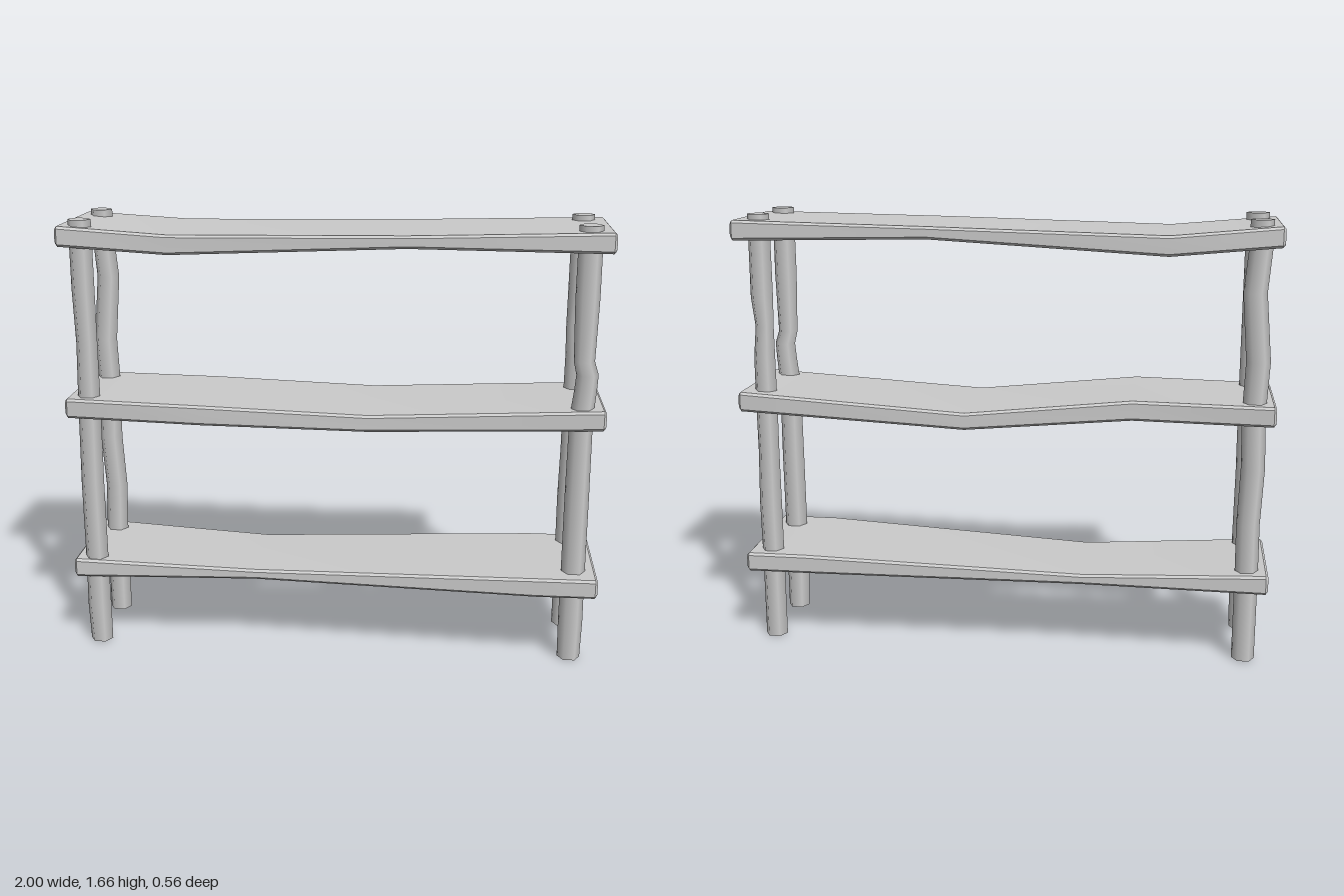
import * as THREE from 'three';
import { toCreasedNormals } from 'three/addons/utils/BufferGeometryUtils.js';

const material = new THREE.MeshStandardMaterial({ color: 0xcccccc });
const shelfMaterial = new THREE.MeshStandardMaterial({ color: 0xcccccc, side: THREE.DoubleSide });
const BEVEL = 0.009;

// Warped plank with chamfered edges, hollow underneath; stations are [x, bottom, top, back z, front z]
function makeShelf(name, stations) {
  const first = stations[0], last = stations[stations.length - 1];
  const inset = ([x, b, t, zb, zf]) => [x, b + BEVEL, t - BEVEL, zb + BEVEL, zf - BEVEL];
  const shift = (s, dx) => [s[0] + dx, ...s.slice(1)];
  const rows = [
    inset(first), shift(first, BEVEL),
    ...stations.slice(1, -1),
    shift(last, -BEVEL), inset(last),
  ];
  const positions = [], index = [];
  for (const [x, b, t, zb, zf] of rows) {
    const c = BEVEL;
    const loop = [
      [b, zf - c], [b + c, zf], [t - c, zf], [t, zf - c],
      [t, zb + c], [t - c, zb], [b + c, zb], [b, zb + c],
    ];
    for (const [y, z] of loop) positions.push(x, y, z);
  }
  // Skin around the front, top and back, open below
  const n = 8;
  for (let i = 0; i < rows.length - 1; i++) {
    for (let j = 0; j < n - 1; j++) {
      const a = i * n + j;
      index.push(a, a + n, a + 1, a + 1, a + n, a + n + 1);
    }
  }
  // End faces
  const end = (rows.length - 1) * n;
  for (let j = 1; j < n - 1; j++) {
    index.push(0, j, j + 1, end, end + j + 1, end + j);
  }
  const geometry = new THREE.BufferGeometry();
  geometry.setAttribute('position', new THREE.Float32BufferAttribute(positions, 3));
  geometry.setIndex(index);
  const mesh = new THREE.Mesh(toCreasedNormals(geometry, 0.5), shelfMaterial);
  mesh.name = name;
  return mesh;
}

// Crooked six-sided pole; stations run upward as [y, dx, dz, radius]
function makePost(name, x, z, stations) {
  const rows = stations.length - 1;
  const geometry = new THREE.CylinderGeometry(1, 1, 1, 6, rows, false, Math.PI / 2);
  const p = geometry.attributes.position;
  for (let i = 0; i < p.count; i++) {
    const [y, dx, dz, r] = stations[Math.round((p.getY(i) + 0.5) * rows)];
    p.setXYZ(i, x + dx + p.getX(i) * r, y, z + dz + p.getZ(i) * r);
  }
  const mesh = new THREE.Mesh(geometry, material);
  mesh.name = name;
  return mesh;
}

export function createModel() {
  const group = new THREE.Group();
  group.name = 'shelfUnit';

  // Three uneven planks
  group.add(
    makeShelf('topShelf', [
      [-1, 1.567, 1.641, -0.226, 0.232],
      [-0.6, 1.537, 1.61, -0.28, 0.196],
      [0.27, 1.58, 1.626, -0.22, 0.257],
      [1, 1.567, 1.641, -0.228, 0.229],
    ]),
    makeShelf('middleShelf', [
      [-1, 0.924, 0.998, -0.222, 0.227],
      [-0.48, 0.924, 0.998, -0.182, 0.28],
      [0.13, 0.89, 0.953, -0.267, 0.196],
      [1, 0.924, 0.998, -0.227, 0.227],
    ]),
    makeShelf('bottomShelf', [
      [-1, 0.284, 0.357, -0.222, 0.227],
      [-0.3, 0.284, 0.323, -0.2, 0.192],
      [0.77, 0.284, 0.357, -0.222, 0.268],
      [1, 0.284, 0.357, -0.222, 0.268],
    ]),
  );

  // Four poles running through the planks
  group.add(
    makePost('frontRightPost', -0.922, 0.164, [
      [0, 0, 0, 0.043], [0.15, 0, 0.01, 0.046], [0.32, 0, 0.008, 0.044],
      [0.65, -0.003, 0.003, 0.044], [0.96, 0, 0, 0.043], [1.2, 0.003, 0, 0.04],
      [1.4, 0, 0, 0.043], [1.66, 0, 0, 0.043],
    ]),
    makePost('backRightPost', -0.922, -0.145, [
      [0, 0, 0, 0.043], [0.32, 0, 0, 0.043], [0.54, 0.003, -0.012, 0.043],
      [0.75, -0.006, 0, 0.044], [0.96, 0, 0, 0.043], [1.15, -0.008, 0, 0.044],
      [1.4, 0.014, 0, 0.043], [1.57, 0, 0, 0.042], [1.66, 0, 0, 0.042],
    ]),
    makePost('frontLeftPost', 0.914, 0.164, [
      [0, 0, 0, 0.043], [0.15, 0, 0.01, 0.046], [0.32, 0, 0.005, 0.045],
      [0.65, 0, 0, 0.045], [0.96, 0, 0, 0.043], [1.06, 0.01, 0, 0.041],
      [1.12, 0.014, 0, 0.04], [1.17, 0, 0, 0.038], [1.4, 0, 0, 0.044],
      [1.66, 0, 0, 0.043],
    ]),
    makePost('backLeftPost', 0.914, -0.145, [
      [0, 0, 0, 0.043], [0.32, 0, 0, 0.043], [0.55, 0, -0.006, 0.044],
      [0.75, 0, 0, 0.041], [0.96, 0, 0, 0.042], [1.12, 0, 0, 0.041],
      [1.24, -0.008, -0.008, 0.035], [1.35, 0, 0, 0.043], [1.66, 0, 0, 0.042],
    ]),
  );
  return group;
}
